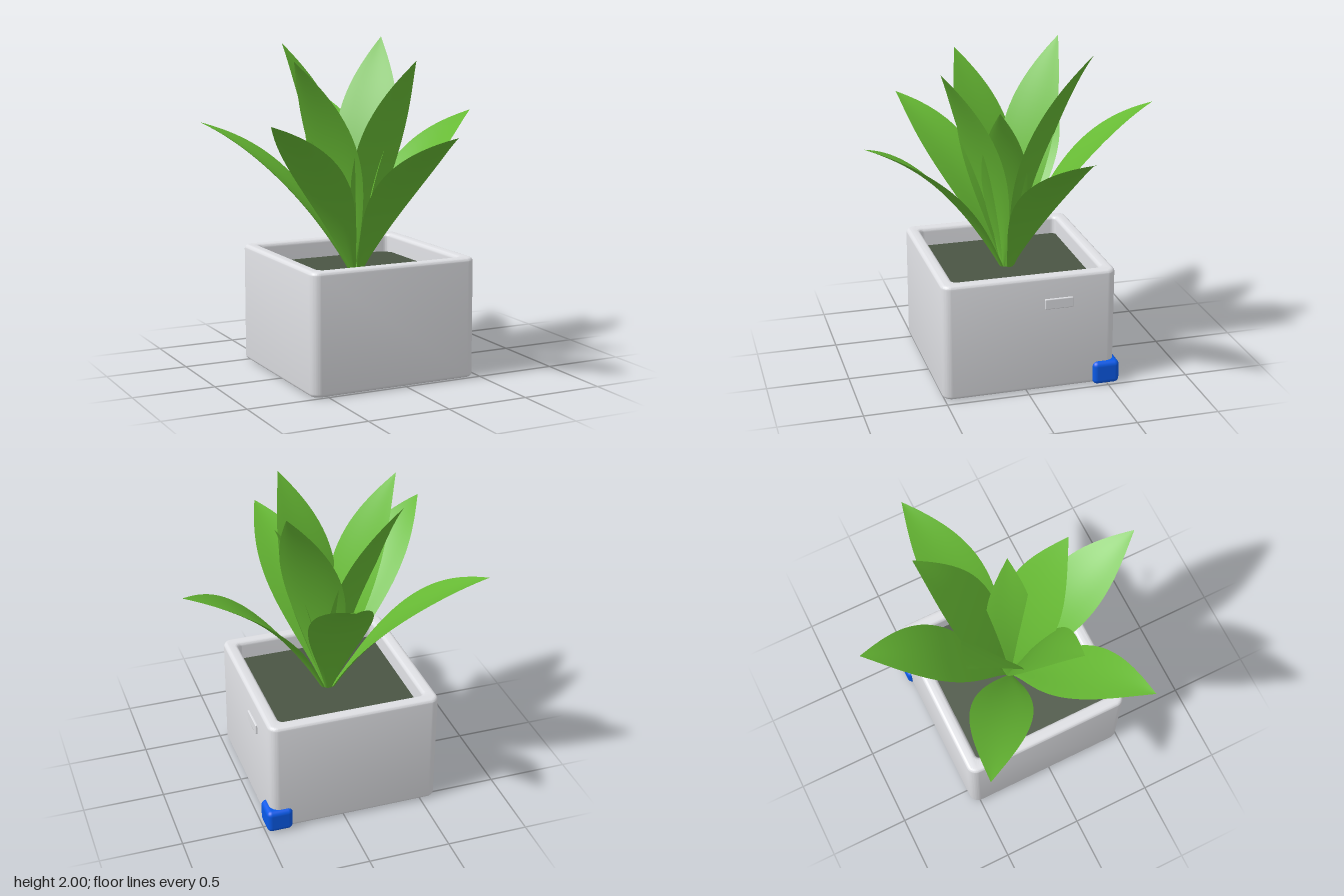
import * as THREE from 'three';
import { mergeGeometries, toCreasedNormals } from 'three/addons/utils/BufferGeometryUtils.js';
import { RoundedBoxGeometry } from 'three/addons/geometries/RoundedBoxGeometry.js';

const mat = (name, color) => Object.assign(new THREE.MeshStandardMaterial({ color }), { name });
const CX = -0.07, CZ = -0.02; // pot centre
const BASE = 0.6; // height where the leaves start

// Rounded square outline, half-size h and corner radius r
function roundedSquare(h, r, Type = THREE.Shape) {
  const s = new Type();
  [[1, 1], [-1, 1], [-1, -1], [1, -1]].forEach(([x, y], i) =>
    s.absarc(x * (h - r), y * (h - r), r, i * Math.PI / 2, (i + 1) * Math.PI / 2, false));
  s.closePath();
  return s;
}

// Pointed leaf growing along +x and up, with an arched midrib and thin closed section
function leafGeometry(reach, height, control, halfWidth, cup) {
  const rib = new THREE.QuadraticBezierCurve(
    new THREE.Vector2(0.03, BASE), new THREE.Vector2(...control), new THREE.Vector2(reach, height));
  const sheets = [1, -1].map(side => {
    const g = new THREE.PlaneGeometry(2, 1, 10, 28);
    const p = g.attributes.position;
    for (let i = 0; i < p.count; i++) {
      const u = p.getX(i) * side, t = p.getY(i) + 0.5;
      const c = rib.getPoint(t), d = rib.getTangent(t);
      const profile = Math.max(Math.sin(Math.PI * Math.pow(t, 1.12)), 0);
      const w = halfWidth * profile + 0.018 * (1 - t);
      const off = cup * u * u * profile + side * 0.008 * (1 - u ** 4) * (1 - t * t);
      p.setXYZ(i, c.x - d.y * off, c.y + d.x * off, u * w);
    }
    g.computeVertexNormals();
    return g;
  });
  return mergeGeometries(sheets);
}

export function createModel() {
  const model = new THREE.Group();
  const grey = mat('pot grey', 0xdedfe3);
  const green = mat('leaf green', 0x67ba34);
  const earth = mat('soil', 0x4a5544);
  const blue = mat('blue', 0x0a5ae8);

  const add = (name, geometry, material, x = 0, y = 0, z = 0) => {
    const m = new THREE.Mesh(geometry, material);
    m.name = name;
    m.position.set(x, y, z);
    model.add(m);
    return m;
  };

  // Pot walls with softened rim, and floor
  const b = 0.025;
  const outline = roundedSquare(0.531, 0.06);
  outline.holes.push(roundedSquare(0.45, 0.03, THREE.Path));
  const walls = new THREE.ExtrudeGeometry(outline, {
    depth: 0.726 - 2 * b, bevelThickness: b, bevelSize: b, bevelOffset: -b, bevelSegments: 8, curveSegments: 12,
  });
  walls.translate(0, 0, b).rotateX(-Math.PI / 2);
  add('potWalls', toCreasedNormals(walls, 0.3), grey, CX, 0.004, CZ);
  add('potFloor', new THREE.BoxGeometry(0.98, 0.095, 0.98), grey, CX, 0.0525, CZ);

  // Soil with one corner left open
  const s = 0.452, cut = 0.055;
  const soil = new THREE.Shape([[-s, -s], [s, -s], [s, s - cut], [s - cut, s], [-s, s]]
    .map(([x, y]) => new THREE.Vector2(x, y)));
  add('soil', new THREE.ShapeGeometry(soil).rotateX(-Math.PI / 2), earth, CX, 0.615, CZ);

  // Side plate and blue corner block
  add('sidePlate', new RoundedBoxGeometry(0.03, 0.065, 0.175, 2, 0.006), grey, 0.457, 0.558, -0.192);
  add('cornerBlock', new RoundedBoxGeometry(0.16, 0.145, 0.165, 4, 0.03), blue, 0.41, 0.0725, -0.4925);

  // Leaves: tip position x, y, z
  const outer = [[0.07, 1.63, -0.89], [0.87, 1.53, -0.27], [0.12, 1.49, 0.88],
    [-0.84, 1.56, 0.5], [-0.87, 1.5, -0.54]];
  const inner = [[0.31, 2, -0.43], [-0.37, 1.97, -0.43], [-0.56, 1.89, 0.18],
    [0.1, 1.89, 0.42], [0.22, 1.67, 0.1]];
  const addLeaf = (name, [x, y, z], bendX, bendY, halfWidth, cup) => {
    const dx = x - CX, dz = z - CZ, reach = Math.hypot(dx, dz);
    const control = [reach * bendX, BASE + (y - BASE) * bendY];
    const leaf = add(name, leafGeometry(reach, y, control, halfWidth, cup), green, CX, 0, CZ);
    leaf.rotation.y = Math.atan2(-dz, dx);
  };
  outer.forEach((tip, i) => addLeaf('outerLeaf' + (i + 1), tip, 0.42, 0.76, 0.175, 0.02));
  inner.forEach((tip, i) => addLeaf('innerLeaf' + (i + 1), tip, 0.21, 0.6, i === 4 ? 0.13 : 0.185, 0.01));

  return model;
}
